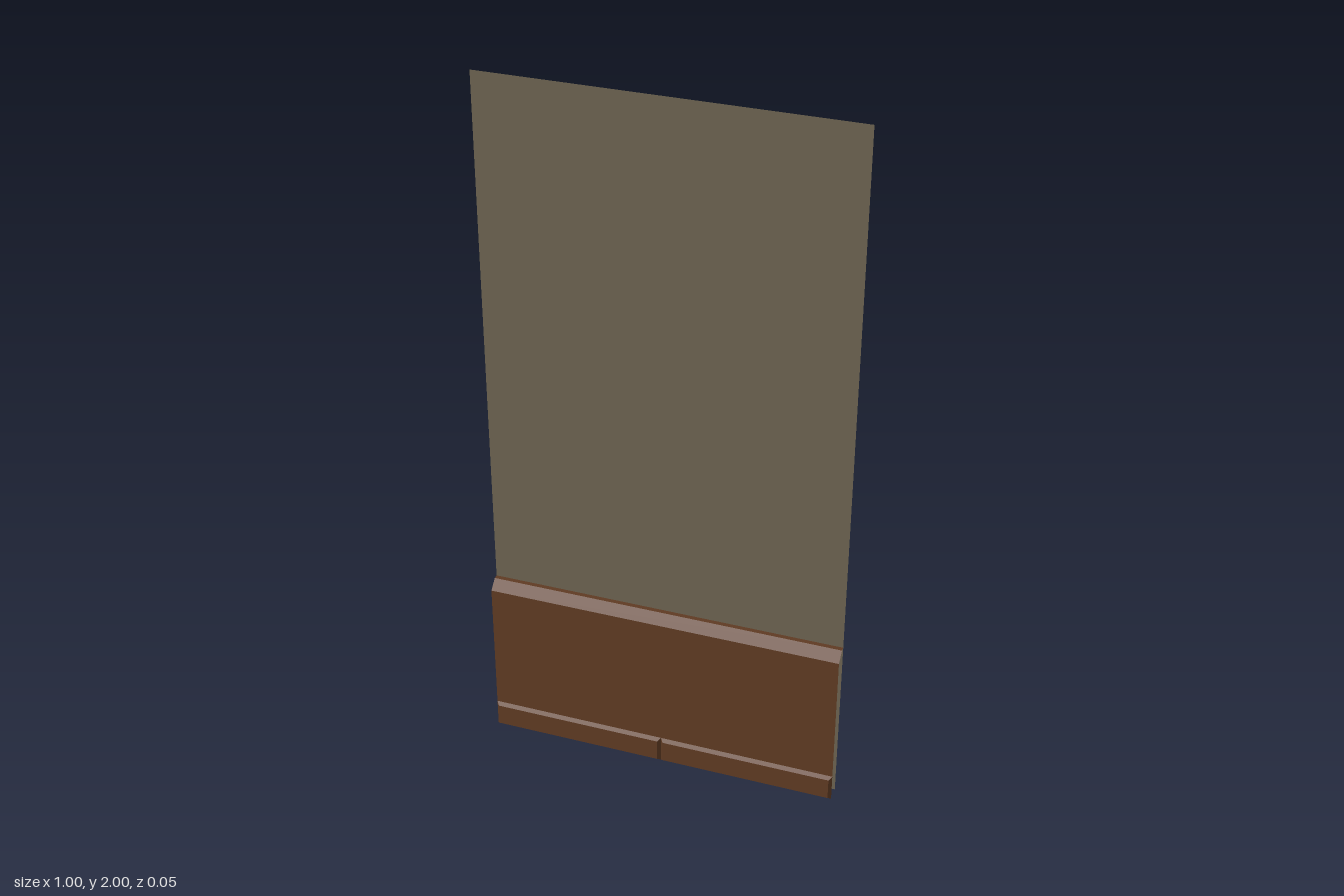
import * as THREE from 'three';

const wallMat = new THREE.MeshStandardMaterial({ color: 0x6d6451, side: THREE.DoubleSide });
wallMat.name = 'olive wall';
const woodMat = new THREE.MeshStandardMaterial({ color: 0x603b23, side: THREE.DoubleSide });
woodMat.name = 'brown wood';

const BACK = -0.025, FACE = 0.015, FRONT = 0.025;
const SKIRT_H = 0.08;

// Flat-shaded geometry from quads, each a list of four corners seen counter-clockwise
function quads(list) {
  const pos = [];
  for (const [a, b, c, d] of list) pos.push(...a, ...b, ...c, ...a, ...c, ...d);
  const geo = new THREE.BufferGeometry();
  geo.setAttribute('position', new THREE.Float32BufferAttribute(pos, 3));
  geo.computeVertexNormals();
  return geo;
}

function add(group, name, geo, mat) {
  const mesh = new THREE.Mesh(geo, mat);
  mesh.name = name;
  group.add(mesh);
  return mesh;
}

// Open sheet swept along x from a (y, z) profile running bottom to top
function sheet(profile, x0, x1) {
  const faces = [];
  for (let i = 0; i < profile.length - 1; i++) {
    const [y0, z0] = profile[i], [y1, z1] = profile[i + 1];
    faces.push([[x0, y0, z0], [x1, y0, z0], [x1, y1, z1], [x0, y1, z1]]);
  }
  return quads(faces);
}

// Raised board with four bevelled edges and an open back
function bevelledBoard(x0, x1, y0, y1, bevel) {
  const ring = (inset, z) => [
    [x0 + inset, y0 + inset, z], [x1 - inset, y0 + inset, z],
    [x1 - inset, y1 - inset, z], [x0 + inset, y1 - inset, z],
  ];
  const outer = ring(0, FACE), inner = ring(bevel, FRONT);
  const faces = [inner];
  for (let i = 0; i < 4; i++) {
    const j = (i + 1) % 4;
    faces.push([outer[i], outer[j], inner[j], inner[i]]);
  }
  return quads(faces);
}

export function createModel() {
  const model = new THREE.Group();
  model.name = 'wallSection';

  // Thin wall sheet
  add(model, 'wall', new THREE.PlaneGeometry(1, 2), wallMat).position.set(0, 1, BACK);

  // Wainscot face, sloped cap and narrow flat ledge back to the wall
  const profile = [[SKIRT_H, FACE], [0.475, FACE], [0.5, -0.012], [0.5, BACK]];
  add(model, 'wainscot', sheet(profile, -0.5, 0.5), woodMat);

  // Two skirting boards meeting at a V groove
  add(model, 'skirtingRight', bevelledBoard(-0.5, 0, 0, SKIRT_H, 0.008), woodMat);
  add(model, 'skirtingLeft', bevelledBoard(0, 0.5, 0, SKIRT_H, 0.008), woodMat);

  return model;
}
